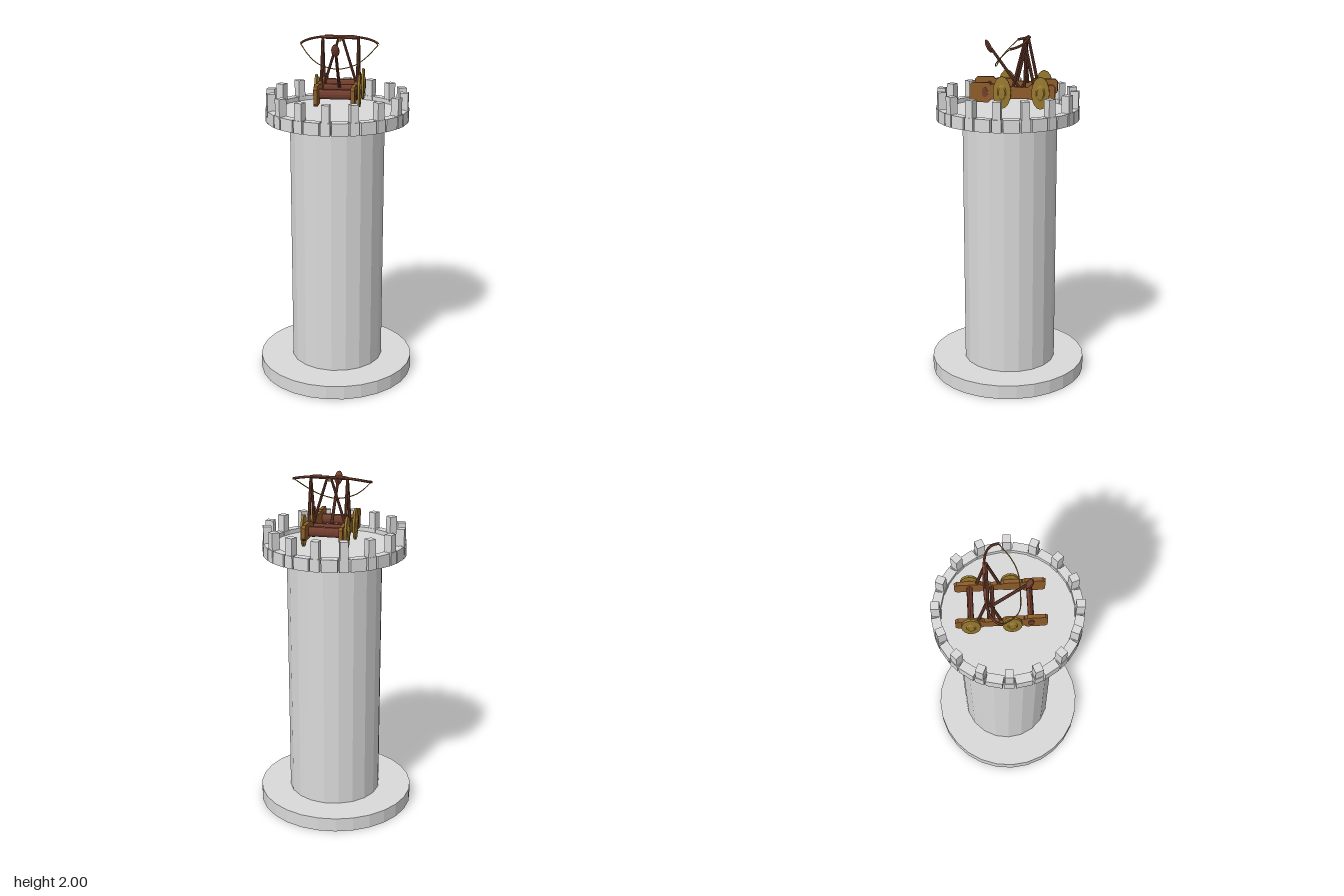
import * as THREE from 'three';

const mat = (name, color) => {
  const m = new THREE.MeshStandardMaterial({ color });
  m.name = name;
  m.flatShading = true;
  return m;
};

export function createModel() {
  const stone = mat('stone grey', 0xdadada);
  const redWood = mat('dark red wood', 0x74402f);
  const brownWood = mat('brown wood', 0x8f5d2a);
  const gold = mat('old gold', 0x9a7a30);

  const model = new THREE.Group();
  model.name = 'towerWithSiegeEngine';

  const add = (parent, name, geo, material, x = 0, y = 0, z = 0) => {
    const mesh = new THREE.Mesh(geo, material);
    mesh.name = name;
    mesh.position.set(x, y, z);
    parent.add(mesh);
    return mesh;
  };
  const box = (parent, name, w, h, d, material, x, y, z) =>
    add(parent, name, new THREE.BoxGeometry(w, h, d), material, x, y, z);
  const lathe = (profile, sides) =>
    new THREE.LatheGeometry(profile.map(p => new THREE.Vector2(...p)), sides);
  // Round pole between two points
  const pole = (parent, name, a, b, r0, r1, material) => {
    const p = new THREE.Vector3(...a), q = new THREE.Vector3(...b);
    const dir = q.clone().sub(p);
    const mesh = add(parent, name, new THREE.CylinderGeometry(r1, r0, dir.length(), 8), material);
    mesh.position.copy(p).add(q).multiplyScalar(0.5);
    mesh.quaternion.setFromUnitVectors(new THREE.Vector3(0, 1, 0), dir.normalize());
    return mesh;
  };
  const tube = (parent, name, pts, r, material) => {
    const curve = new THREE.CatmullRomCurve3(pts.map(p => new THREE.Vector3(...p)));
    return add(parent, name, new THREE.TubeGeometry(curve, 40, r, 6), material);
  };
  // Side block with chamfered corners, seen from the side
  const chamferBlock = (parent, name, w, h, d, x, y, z) => {
    const c = 0.014, a = d / 2, b = h / 2;
    const shape = new THREE.Shape([
      [-a + c, -b], [a - c, -b], [a, -b + c], [a, b - c], [a - c, b], [-a + c, b], [-a, b - c], [-a, -b + c],
    ].map(p => new THREE.Vector2(...p)));
    const geo = new THREE.ExtrudeGeometry(shape, { depth: w, bevelEnabled: false });
    add(parent, name, geo.translate(0, 0, -w / 2).rotateY(Math.PI / 2), brownWood, x, y, z);
  };

  // Tower: foot (hollow underneath), shaft and deck
  const tower = new THREE.Group();
  tower.name = 'tower';
  model.add(tower);
  add(tower, 'foot', lathe([
    [0, 0.078], [0.452, 0.078], [0.452, 0], [0.456, 0], [0.456, 0.082], [0, 0.082],
  ], 28), stone);
  add(tower, 'shaft', new THREE.CylinderGeometry(0.271, 0.271, 1.47, 20), stone, 0.005, 0.815, -0.01);
  add(tower, 'deck', new THREE.CylinderGeometry(0.375, 0.375, 0.042, 32), stone, 0.007, 1.564, 0);

  // Parapet: low wall blocks alternating with tall merlons
  const parapet = new THREE.Group();
  parapet.name = 'parapet';
  parapet.position.set(0.007, 0, 0);
  tower.add(parapet);
  for (let i = 0; i < 16; i++) {
    const sector = new THREE.Group();
    sector.name = 'parapetSector';
    sector.rotation.y = (i / 16) * Math.PI * 2 - 0.035;
    parapet.add(sector);
    box(sector, 'merlonBase', 0.052, 0.07, 0.053, stone, 0, 1.575, 0.379);
    box(sector, 'merlon', 0.044, 0.1, 0.046, stone, 0, 1.655, 0.379);
    const half = new THREE.Group();
    half.name = 'wallSection';
    half.rotation.y = Math.PI / 16;
    sector.add(half);
    box(half, 'wallBlock', 0.089, 0.07, 0.05, stone, 0, 1.575, 0.379);
  }

  // Siege engine, centred on its own x axis
  const engine = new THREE.Group();
  engine.name = 'siegeEngine';
  engine.position.set(0.013, 0, 0);
  model.add(engine);

  // Wheel: thin disc with a tapered hub
  const wheelGeo = lathe([
    [0, -0.014], [0.02, -0.014], [0.025, -0.007], [0.05, -0.007], [0.05, 0.005], [0.025, 0.007],
    [0.018, 0.013], [0, 0.014],
  ], 16);

  for (const s of [-1, 1]) {
    // Side rails with heavier blocks along them
    box(engine, 'rail', 0.018, 0.065, 0.46, brownWood, s * 0.102, 1.705, -0.04);
    chamferBlock(engine, 'frontBlock', 0.021, 0.11, 0.12, s * 0.102, 1.705, 0.14);
    chamferBlock(engine, 'middleBlock', 0.021, 0.085, 0.12, s * 0.102, 1.71, 0.03);
    chamferBlock(engine, 'rearBlock', 0.021, 0.085, 0.15, s * 0.102, 1.71, -0.2);

    for (const z of [0.018, -0.195]) {
      const wheel = new THREE.Group();
      wheel.name = 'wheel';
      wheel.position.set(s * 0.122, 1.708, z);
      wheel.scale.set(1, 1.8, 1);
      engine.add(wheel);
      add(wheel, 'wheelDisc', wheelGeo, gold).rotation.z = -s * Math.PI / 2;
    }

    // Legs of the frame and brace to the middle of the crossbar
    pole(engine, 'frontLeg', [s * 0.102, 1.73, -0.04], [s * 0.102, 1.985, -0.105], 0.009, 0.008, redWood);
    pole(engine, 'rearLeg', [s * 0.102, 1.73, -0.16], [s * 0.102, 1.985, -0.105], 0.009, 0.008, redWood);
    pole(engine, 'brace', [s * 0.09, 1.73, -0.103], [s * 0.012, 1.98, -0.105], 0.008, 0.007, redWood);
    pole(engine, 'bowSleeve', [s * 0.04, 1.989, -0.108], [s * 0.09, 1.988, -0.108], 0.011, 0.011, redWood);
  }

  // Cross beams, taller than deep
  const crossBeam = (name, len, r, z) => {
    const g = new THREE.CylinderGeometry(r, r, len, 12).rotateZ(Math.PI / 2).scale(1, 1.8, 1);
    add(engine, name, g, redWood, 0, 1.707, z);
  };
  crossBeam('frontBeam', 0.235, 0.016, 0.115);
  crossBeam('rearBeam', 0.21, 0.016, -0.195);
  crossBeam('armAxle', 0.2, 0.011, -0.08);
  pole(engine, 'crossbar', [-0.105, 1.986, -0.105], [0.105, 1.986, -0.105], 0.009, 0.009, redWood);

  // Throwing arm with a spoon-shaped cup
  pole(engine, 'throwingArm', [-0.003, 1.71, -0.07], [-0.003, 1.935, 0.095], 0.009, 0.008, redWood);
  const cup = add(engine, 'cup', new THREE.SphereGeometry(0.023, 12, 8), redWood, -0.003, 1.945, 0.108);
  cup.scale.set(1, 1.75, 0.6);
  cup.rotation.x = 0.45;
  box(engine, 'bowPeg', 0.012, 0.016, 0.03, gold, -0.003, 1.975, -0.1);

  // Bow and its slack string
  const mirrored = (half, middle) =>
    [...half.map(([x, y, z]) => [-x, y, z]), middle, ...half.slice().reverse()];
  tube(engine, 'bow', mirrored([
    [0.22, 1.958, -0.035], [0.207, 1.966, -0.068], [0.172, 1.977, -0.097], [0.1, 1.988, -0.113],
  ], [0, 1.991, -0.117]), 0.007, redWood);
  tube(engine, 'bowString', mirrored([
    [0.218, 1.958, -0.035], [0.16, 1.9, 0.025], [0.1, 1.86, 0.056],
  ], [0, 1.837, 0.063]), 0.003, gold);

  return model;
}
